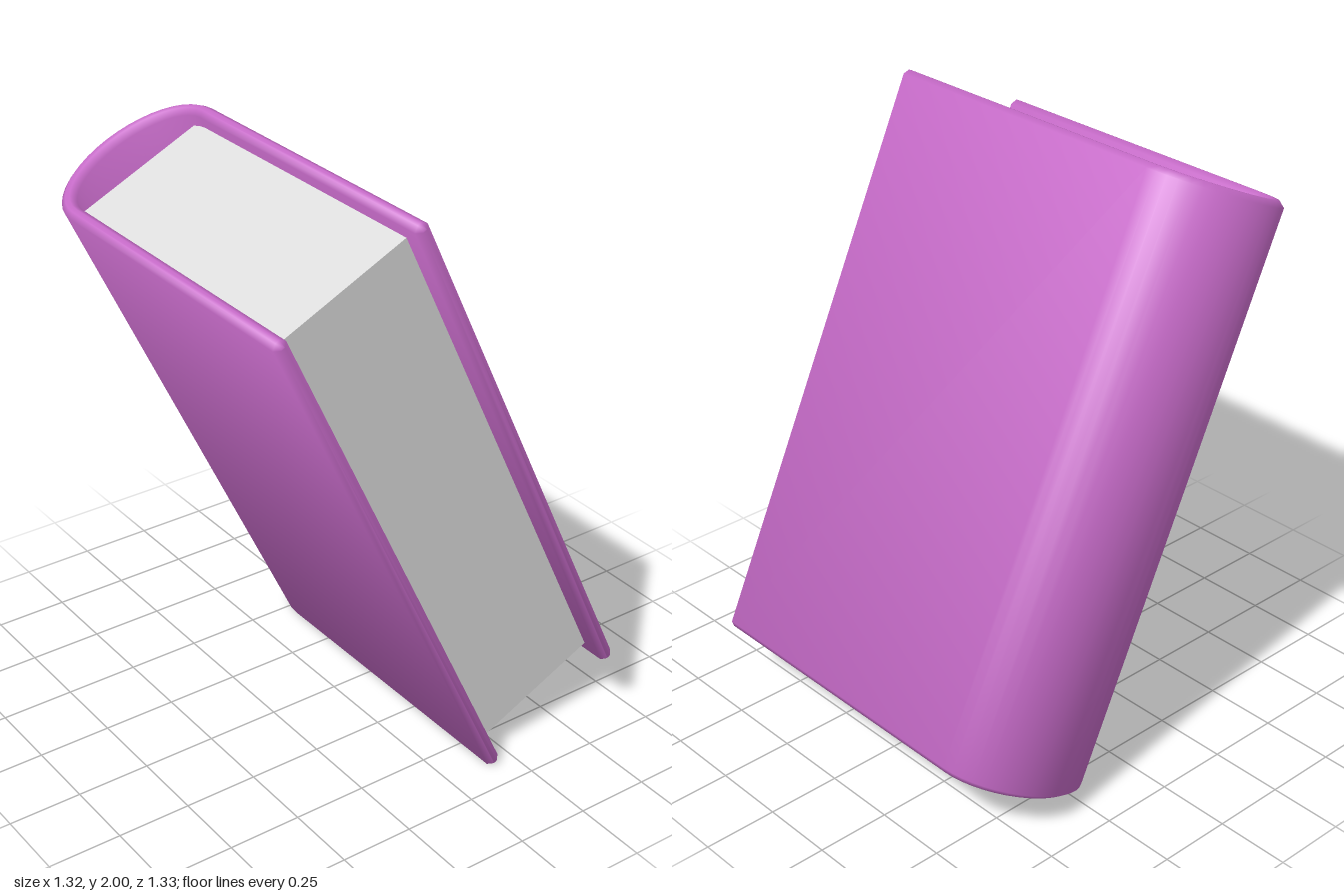
import * as THREE from 'three';

const HALF_L = 0.979;   // half height of the cover boards
const HALF_T = 0.285;   // half thickness of the closed book
const INNER_T = 0.237;  // half gap between the boards
const CHAMFER = 0.017;
const RIGHT = 0.662, SPINE_X = -0.44;
const SPINE_OUT = 0.222, SPINE_IN = 0.158;

// Stations along the U-shaped cover: front board, round spine, back board
function coverPath() {
  const path = [];
  const board = (x, s, inset, tilt) => path.push({
    out: [x, s * HALF_T], inn: [x, s * INNER_T], n: [0, s], inset, tilt });
  board(RIGHT, 1, 1, 0.92);
  board(RIGHT - CHAMFER, 1, 0, 0.38);
  const steps = 20;
  for (let i = 0; i <= steps; i++) {
    const a = Math.PI / 2 - (i / steps) * Math.PI;
    const c = Math.cos(a), s = Math.sin(a);
    const n = new THREE.Vector2(-c / SPINE_OUT, s / HALF_T).normalize();
    path.push({
      out: [SPINE_X - SPINE_OUT * c, HALF_T * s],
      inn: [SPINE_X - SPINE_IN * c, INNER_T * s],
      n: [n.x, n.y], inset: 0, tilt: 0 });
  }
  board(RIGHT - CHAMFER, -1, 0, 0.38);
  board(RIGHT, -1, 1, 0.92);
  return path;
}

// Chamfered section: [fraction across the thickness, y] for eight corners
function section(inset) {
  const f0 = inset ? 0.35 : 0;
  const df = inset ? 0.05 : 0.35;
  const h = HALF_L - (inset ? CHAMFER : 0);
  const c = inset ? 0.003 : CHAMFER;
  const top = [[f0, h - c], [f0 + df, h], [1 - f0 - df, h], [1 - f0, h - c]];
  return [...top, ...top.map(([f, y]) => [f, -y]).reverse()];
}

function coverGeometry() {
  const pos = [], nor = [], idx = [];
  const path = coverPath();
  const normal = new THREE.Vector3();
  for (const p of path) {
    section(p.inset).forEach(([f, y], i) => {
      pos.push(
        THREE.MathUtils.lerp(p.out[0], p.inn[0], f), y,
        THREE.MathUtils.lerp(p.out[1], p.inn[1], f));
      // soft normals shared between each face and its chamfer
      const a = Math.PI / 8 + i * Math.PI / 4;
      const k = Math.sqrt(1 - p.tilt * p.tilt);
      normal.set(
        p.n[0] * Math.cos(a) * k + p.tilt, Math.sin(a) * k,
        p.n[1] * Math.cos(a) * k).normalize();
      nor.push(normal.x, normal.y, normal.z);
    });
  }
  for (let k = 0; k < path.length - 1; k++) {
    for (let i = 0; i < 8; i++) {
      const a = k * 8 + i, b = k * 8 + (i + 1) % 8;
      idx.push(a, b, a + 8, b, b + 8, a + 8);
    }
  }
  // end caps at the fore-edge of both boards
  const e = (path.length - 1) * 8;
  for (let i = 1; i < 7; i++) idx.push(0, i + 1, i, e, e + i, e + i + 1);

  const geo = new THREE.BufferGeometry();
  geo.setAttribute('position', new THREE.Float32BufferAttribute(pos, 3));
  geo.setAttribute('normal', new THREE.Float32BufferAttribute(nor, 3));
  geo.setIndex(idx);
  return geo;
}

export function createModel() {
  const purple = new THREE.MeshStandardMaterial({ color: 0xc76bc9 });
  purple.name = 'purpleCover';
  const paper = new THREE.MeshStandardMaterial({ color: 0xdcdcdc });
  paper.name = 'paper';

  const book = new THREE.Group();
  book.name = 'book';

  const cover = new THREE.Mesh(coverGeometry(), purple);
  cover.name = 'cover';
  book.add(cover);

  // page block, set in from the boards and touching both
  const pages = new THREE.Mesh(new THREE.BoxGeometry(1.075, 1.84, 0.476), paper);
  pages.name = 'pages';
  pages.position.x = 0.0475;
  book.add(pages);

  // the book leans forward
  book.rotation.x = THREE.MathUtils.degToRad(25);
  book.position.y = 1;

  const model = new THREE.Group();
  model.name = 'leaningBook';
  model.add(book);
  return model;
}
